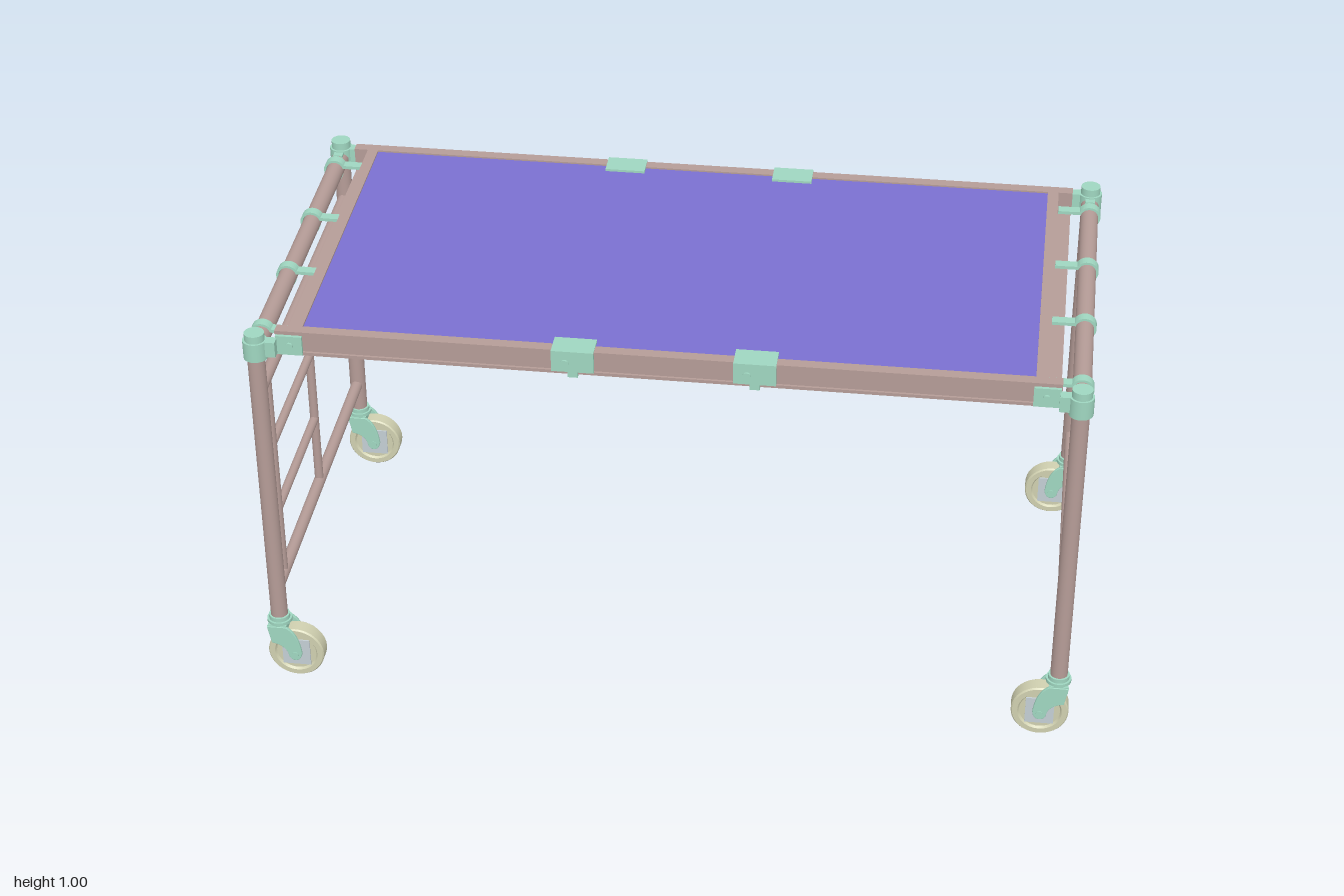
import * as THREE from 'three';

const mat = (color, side = THREE.FrontSide) => new THREE.MeshStandardMaterial({ color, side });
const frameMat = mat(0xb59c97);
const fittingMat = mat(0x9fd6c0);
const deckMat = mat(0x7b70d0);
const wheelMat = mat(0xd0d0b0);
const hubMat = mat(0xc4ced4);

const POST_X = 0.965, POST_Z = 0.47;

function add(parent, name, geometry, material, x = 0, y = 0, z = 0) {
  const m = new THREE.Mesh(geometry, material);
  m.name = name;
  m.position.set(x, y, z);
  parent.add(m);
  return m;
}

// box given by its minimum and maximum corners
function box(parent, name, material, a, b) {
  const s = a.map((v, i) => Math.abs(b[i] - v));
  return add(parent, name, new THREE.BoxGeometry(...s), material,
    (a[0] + b[0]) / 2, (a[1] + b[1]) / 2, (a[2] + b[2]) / 2);
}

// round bar between two points
function bar(parent, name, r, a, b, material = frameMat) {
  const p = new THREE.Vector3(...a), q = new THREE.Vector3(...b);
  const m = add(parent, name, new THREE.CylinderGeometry(r, r, p.distanceTo(q), 24), material);
  m.position.copy(p).add(q).multiplyScalar(0.5);
  m.quaternion.setFromUnitVectors(new THREE.Vector3(0, 1, 0), q.sub(p).normalize());
  return m;
}

// flat plate extruded along z and centred on z = 0
function plate(shape, depth, bevel = 0) {
  const g = new THREE.ExtrudeGeometry(shape, {
    depth, bevelEnabled: bevel > 0, bevelSize: bevel, bevelThickness: bevel, bevelSegments: 2, curveSegments: 16,
  });
  return g.translate(0, 0, -depth / 2);
}

// swivel caster; the wheel trails toward +x
function makeCaster() {
  const g = new THREE.Group();
  g.name = 'caster';
  const tread = [[0, -0.015], [0.05, -0.015], [0.054, -0.021], [0.067, -0.021], [0.07, -0.017],
    [0.07, 0.017], [0.067, 0.021], [0.054, 0.021], [0.05, 0.015], [0, 0.015]];
  // each profile segment gets its own vertices so the rims stay sharp
  for (let i = 0; i < tread.length - 1; i++) {
    const pts = [tread[i], tread[i + 1]].map(p => new THREE.Vector2(...p));
    add(g, 'wheel', new THREE.LatheGeometry(pts, 40).rotateX(Math.PI / 2), wheelMat, 0.04, 0.07);
  }
  for (const s of [-1, 1]) {
    box(g, 'hubPlate', hubMat, [0.005, 0.033, s * 0.014], [0.075, 0.107, s * 0.019]);
    const arm = new THREE.Shape();
    arm.moveTo(-0.025, 0.152);
    arm.lineTo(0.02, 0.152);
    arm.quadraticCurveTo(0.05, 0.135, 0.056, 0.075);
    arm.quadraticCurveTo(0.053, 0.055, 0.04, 0.055);
    arm.quadraticCurveTo(0.026, 0.055, 0.024, 0.075);
    arm.quadraticCurveTo(0.015, 0.1, -0.016, 0.105);
    add(g, 'forkArm', plate(arm, 0.005, 0.0015), fittingMat, 0, 0, s * 0.028);
  }
  bar(g, 'axle', 0.009, [0.04, 0.07, -0.034], [0.04, 0.07, 0.034], fittingMat);
  box(g, 'forkCrown', fittingMat, [-0.025, 0.138, -0.03], [0.022, 0.156, 0.03]);
  bar(g, 'swivel', 0.031, [0, 0.155, 0], [0, 0.164, 0], fittingMat);
  bar(g, 'stemSocket', 0.026, [0, 0.16, 0], [0, 0.175, 0], fittingMat);
  return g;
}

// hook that wraps the top end bar and reaches in to the deck
function makeHook() {
  const s = new THREE.Shape();
  s.absarc(0, 0, 0.028, -2.2, 2.6, false);
  s.lineTo(-0.05, 0.014);
  s.lineTo(-0.078, 0.014);
  s.lineTo(-0.078, 0.006);
  s.lineTo(-0.021, 0.006);
  s.absarc(0, 0, 0.0222, 2.85, -2.2, true);
  return plate(s, 0.025);
}

function makeEndFrame(sx) {
  const g = new THREE.Group();
  g.name = sx > 0 ? 'leftEndFrame' : 'rightEndFrame';
  const x = sx * POST_X;
  for (const sz of [-1, 1]) {
    const z = sz * POST_Z;
    bar(g, 'post', 0.021, [x, 0.17, z], [x, 0.996, z]);
    // corner joint at the post head
    bar(g, 'postCollar', 0.029, [x, 0.932, z], [x, 0.98, z], fittingMat);
    bar(g, 'postCap', 0.024, [x, 0.976, z], [x, 0.999, z], fittingMat);
    box(g, 'cornerLug', fittingMat, [x - 0.012, 0.937, sz * 0.425], [x + 0.012, 0.977, sz * 0.46]);
    box(g, 'cornerArm', fittingMat, [sx * 0.915, 0.94, sz * 0.456], [sx * 0.95, 0.98, sz * 0.482]);
    box(g, 'cornerBracket', fittingMat, [sx * 0.855, 0.937, sz * 0.453], [sx * 0.918, 0.987, sz * 0.461]);
    bar(g, 'cornerBolt', 0.009, [sx * 0.885, 0.962, sz * 0.458], [sx * 0.885, 0.962, sz * 0.467], fittingMat);
    const caster = makeCaster();
    caster.position.set(x, 0, z);
    if (sx > 0) caster.rotation.y = Math.PI;
    g.add(caster);
  }
  // cross bars between the posts
  bar(g, 'topBar', 0.022, [x, 0.953, -0.455], [x, 0.953, 0.455]);
  for (const y of [0.25, 0.831]) bar(g, 'crossBar', 0.015, [x, y, -0.46], [x, y, 0.46]);
  // ladder
  for (const z of [0, 0.398]) bar(g, 'ladderUpright', 0.011, [x, 0.25, z], [x, 0.83, z]);
  for (const y of [0.444, 0.637]) bar(g, 'ladderRung', 0.011, [x, y, 0], [x, y, 0.398]);
  // hooks
  for (const z of [-0.397, -0.13, 0.13, 0.397]) {
    const hook = add(g, 'deckHook', makeHook(), fittingMat, x, 0.956, z);
    if (sx < 0) hook.rotation.y = Math.PI;
  }
  return g;
}

function makeDeck() {
  const g = new THREE.Group();
  g.name = 'deck';
  box(g, 'deckPanel', deckMat, [-0.875, 0.981, -0.432], [0.875, 0.994, 0.432]);
  for (const s of [-1, 1]) {
    // side rail: web with outward flanges
    box(g, 'sideRailWeb', frameMat, [-0.92, 0.935, s * 0.43], [0.92, 0.998, s * 0.45]);
    for (const y of [0.935, 0.99])
      box(g, 'sideRailFlange', frameMat, [-0.92, y, s * 0.428], [0.92, y + 0.008, s * 0.456]);
    // end rail: channel open outward
    box(g, 'endRailTop', frameMat, [s * 0.858, 0.985, -0.43], [s * 0.885, 0.998, 0.43]);
    box(g, 'endRailWeb', frameMat, [s * 0.877, 0.935, -0.43], [s * 0.885, 0.99, 0.43]);
    box(g, 'endRailBottom', frameMat, [s * 0.858, 0.932, -0.43], [s * 0.918, 0.938, 0.43]);
    // cross member under the panel
    box(g, 'crossMember', frameMat, [s * 0.212 - 0.016, 0.945, -0.43], [s * 0.212 + 0.016, 0.982, 0.43]);
    // clamp over each rail
    for (const sx of [-1, 1]) {
      const x = sx * 0.213, a = x - 0.05, b = x + 0.05;
      box(g, 'clampTop', fittingMat, [a, 0.994, s * 0.402], [b, 1.0, s * 0.464]);
      box(g, 'clampFace', fittingMat, [a, 0.945, s * 0.454], [b, 1.0, s * 0.464]);
      box(g, 'clampFoot', fittingMat, [x - 0.012, 0.928, s * 0.436], [x + 0.012, 0.947, s * 0.46]);
      bar(g, 'clampBolt', 0.01, [x - 0.018, 0.968, s * 0.46], [x - 0.018, 0.968, s * 0.469], fittingMat);
    }
  }
  return g;
}

export function createModel() {
  const model = new THREE.Group();
  model.name = 'rollingScaffold';
  model.add(makeDeck(), makeEndFrame(-1), makeEndFrame(1));
  return model;
}
